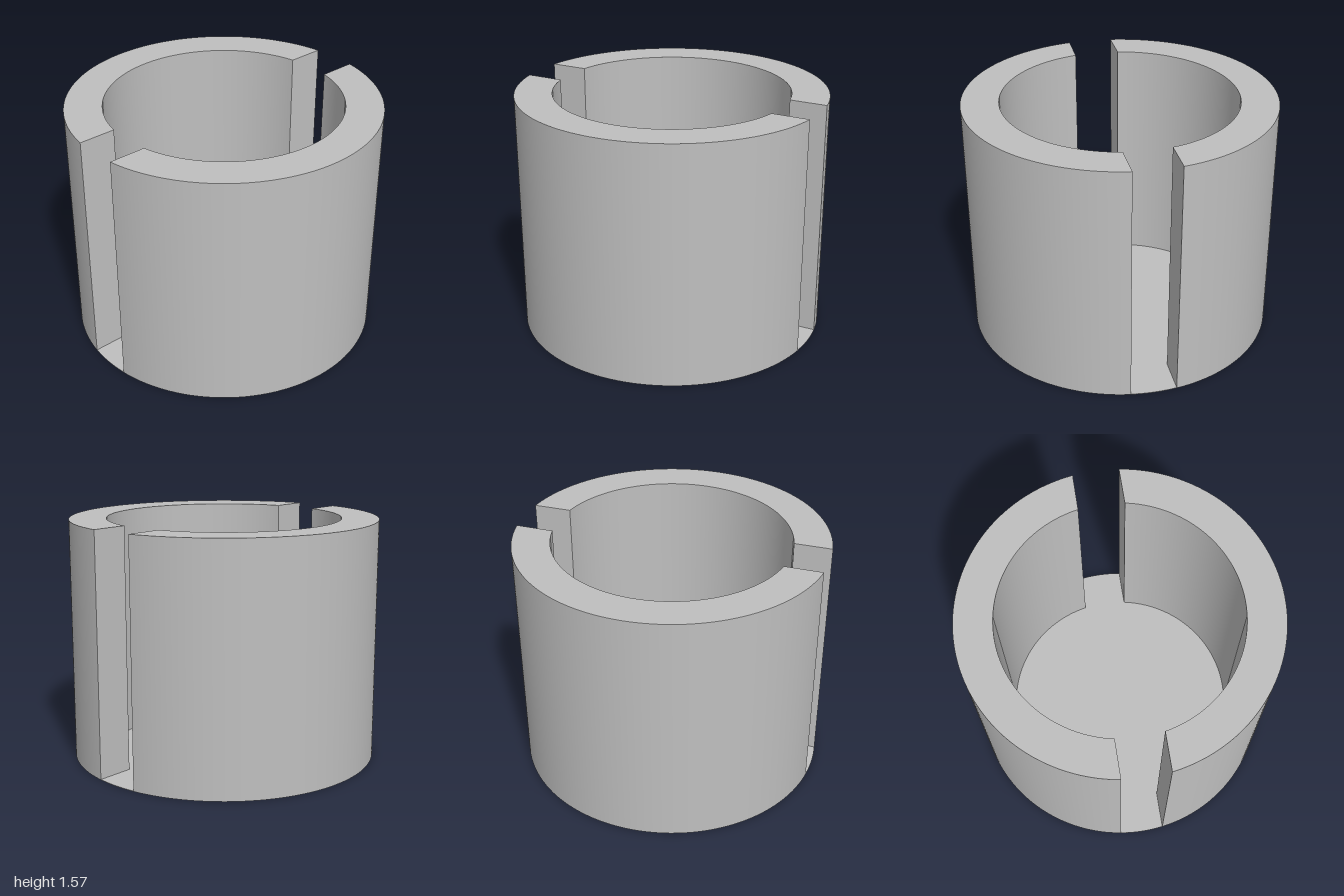
import * as THREE from 'three';
import { toCreasedNormals } from 'three/addons/utils/BufferGeometryUtils.js';

const OUTER = 1, INNER = 0.76, HEIGHT = 1.57, SLOT = 0.147, FLOOR = 0.003;

// Cross-section of one half ring, cut by a parallel-sided slot at both ends
function halfRingShape() {
  const outerAngle = Math.acos(SLOT / OUTER);
  const innerAngle = Math.acos(SLOT / INNER);
  const shape = new THREE.Shape();
  shape.absarc(0, 0, OUTER, -outerAngle, outerAngle, false);
  shape.absarc(0, 0, INNER, innerAngle, -innerAngle, true);
  shape.closePath();
  return shape;
}

export function createModel() {
  const group = new THREE.Group();
  group.name = 'slottedCup';
  const grey = new THREE.MeshStandardMaterial({ color: 0xbfbfbf });
  grey.name = 'grey';

  // Thin round floor, visible through the slots
  const floor = new THREE.Mesh(new THREE.CylinderGeometry(OUTER, OUTER, FLOOR, 128), grey);
  floor.position.y = FLOOR / 2;
  floor.name = 'floor';
  group.add(floor);

  // Two curved walls, standing on the floor
  const extruded = new THREE.ExtrudeGeometry(halfRingShape(), {
    depth: HEIGHT - FLOOR, bevelEnabled: false, curveSegments: 64,
  });
  const wallGeometry = toCreasedNormals(extruded, Math.PI / 6);
  wallGeometry.rotateX(-Math.PI / 2);
  ['leftWall', 'rightWall'].forEach((name, i) => {
    const wall = new THREE.Mesh(wallGeometry, grey);
    wall.position.y = FLOOR;
    wall.rotation.y = i * Math.PI;
    wall.name = name;
    group.add(wall);
  });

  return group;
}
